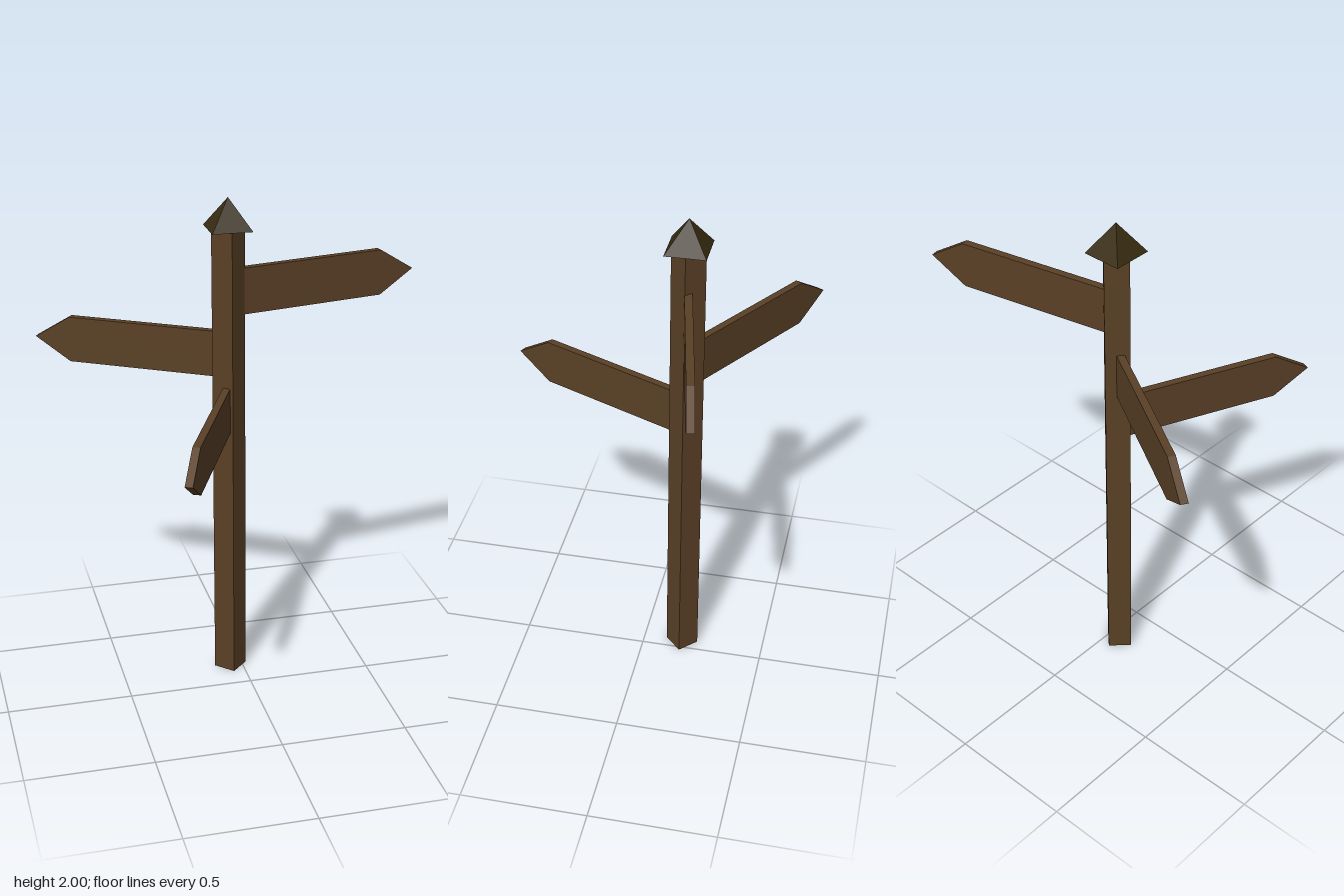
import * as THREE from 'three';

const CENTER_X = -0.048, CENTER_Z = -0.16;

// Gives a geometry hard, faceted edges
function faceted(geometry) {
  const flat = geometry.toNonIndexed();
  flat.computeVertexNormals();
  return flat;
}

export function createModel() {
  const wood = new THREE.MeshStandardMaterial({ color: 0x5a4026 });
  wood.name = 'brown wood';
  const darkWood = new THREE.MeshStandardMaterial({ color: 0x382c12 });
  darkWood.name = 'dark wood';

  const signpost = new THREE.Group();
  signpost.name = 'signpost';
  signpost.position.set(CENTER_X, 0, CENTER_Z);

  // Square post, standing corner-on to the front
  const post = new THREE.Mesh(faceted(new THREE.CylinderGeometry(0.066, 0.066, 1.88, 4)), wood);
  post.name = 'post';
  post.position.y = 0.94;
  signpost.add(post);

  // Pyramid cap, square to the front
  const cap = new THREE.Mesh(faceted(new THREE.ConeGeometry(0.079 * Math.SQRT2, 0.12, 4)), darkWood);
  cap.name = 'cap';
  cap.rotation.y = Math.PI / 4;
  cap.position.y = 1.94;
  signpost.add(cap);

  // Pointed board, running out from the middle of the post
  const length = 0.81, shoulder = 0.663, half = 0.0925, thickness = 0.03;
  const outline = new THREE.Shape([
    new THREE.Vector2(0, -half),
    new THREE.Vector2(shoulder, -half),
    new THREE.Vector2(length, 0),
    new THREE.Vector2(shoulder, half),
    new THREE.Vector2(0, half),
  ]);
  const board = new THREE.ExtrudeGeometry(outline, { depth: thickness, bevelEnabled: false });
  board.translate(0, 0, -thickness / 2);

  // Three boards: name, height, and where the tip points (x, z)
  const boards = [
    ['upperBoard', 1.628, 0.794, -0.162],
    ['middleBoard', 1.378, -0.692, -0.421],
    ['lowerBoard', 1.16, -0.323, 0.742],
  ];
  for (const [name, y, dx, dz] of boards) {
    const mesh = new THREE.Mesh(board, wood);
    mesh.name = name;
    mesh.position.y = y;
    mesh.rotation.y = Math.atan2(-dz, dx);
    signpost.add(mesh);
  }

  const model = new THREE.Group();
  model.name = 'model';
  model.add(signpost);
  return model;
}
